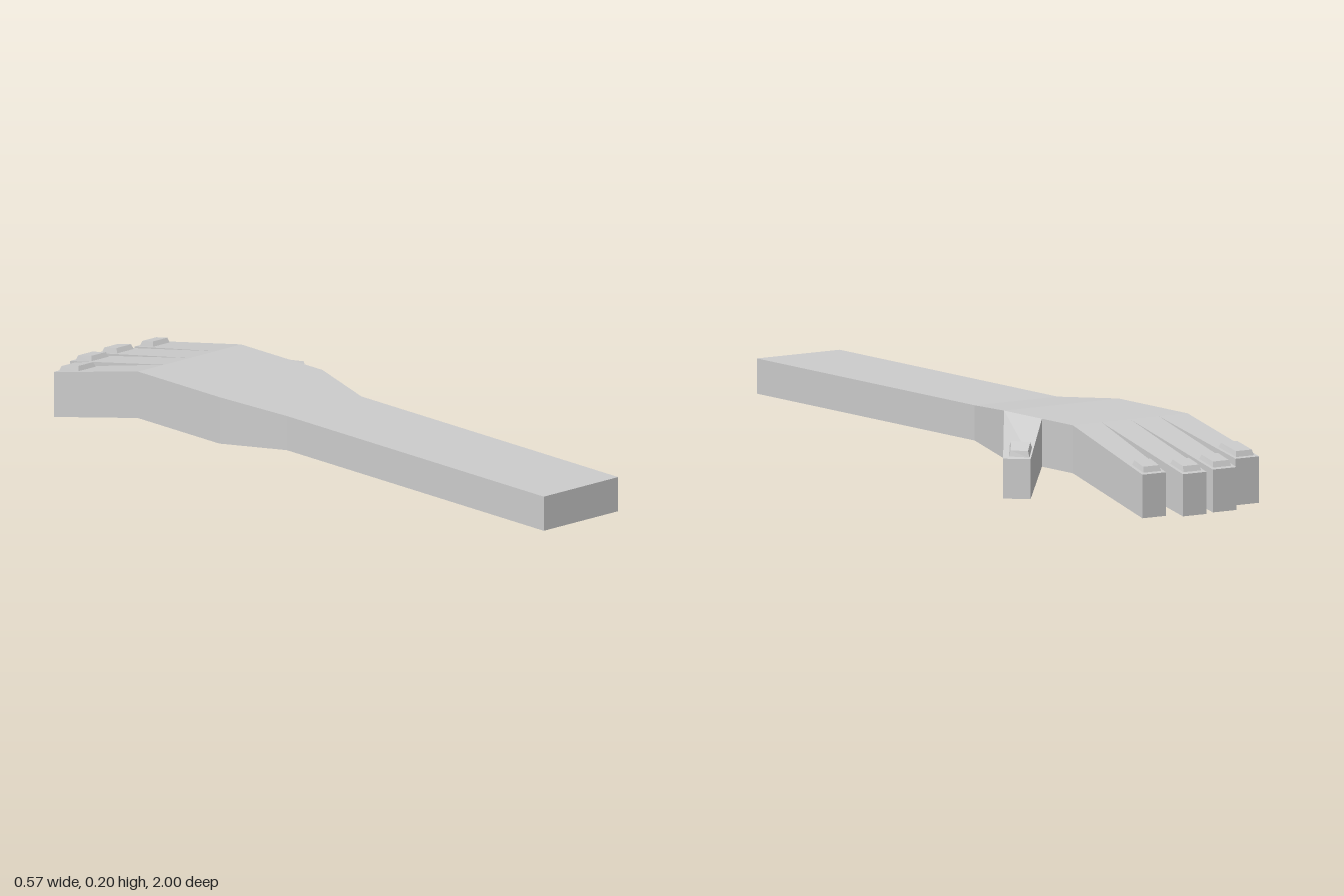
import * as THREE from 'three';

const material = new THREE.MeshStandardMaterial({ color: 0xcccccc, flatShading: true });

// Closed solid through four-cornered rings (corners anticlockwise seen from the start)
function loft(name, rings) {
  const pos = [];
  const quad = (a, b, c, d) => [a, b, c, a, c, d].forEach((p) => pos.push(...p));
  quad(...rings[0]);
  for (let r = 0; r + 1 < rings.length; r++) {
    for (let i = 0; i < 4; i++) {
      const j = (i + 1) % 4;
      quad(rings[r][i], rings[r + 1][i], rings[r + 1][j], rings[r][j]);
    }
  }
  quad(...[...rings[rings.length - 1]].reverse());
  const geometry = new THREE.BufferGeometry();
  geometry.setAttribute('position', new THREE.Float32BufferAttribute(pos, 3));
  geometry.computeVertexNormals();
  const mesh = new THREE.Mesh(geometry, material);
  mesh.name = name;
  return mesh;
}

// Upright ring between a left and a right [x, z] point
const ring = ([xl, zl], [xr, zr], y0, y1) => [[xl, y0, zl], [xr, y0, zr], [xr, y1, zr], [xl, y1, zl]];

// Tapered nail plate lying on the top face of a digit
function nail(name, base, tip, u0, u1, v0, v1) {
  const lerp = (a, b, t) => a.map((n, k) => n + (b[k] - n) * t);
  const plate = (inset, lift) => [
    [u0 + inset, v0 + inset / 3], [u1 - inset, v0 + inset / 3],
    [u1 - inset, v1 - inset / 3], [u0 + inset, v1 - inset / 3],
  ].map(([u, v]) => {
    const p = lerp(lerp(base[3], base[2], u), lerp(tip[3], tip[2], u), v);
    return [p[0], p[1] + lift, p[2]];
  });
  return loft(name, [plate(0.06, 0.014), plate(0, -0.003)]);
}

export function createModel() {
  const group = new THREE.Group();
  const bottom = 0.072, top = 0.204, palmL = -0.283, palmR = 0.098, knuckleZ = -0.578;

  // Forearm, wrist flare and palm
  group.add(loft('forearmAndPalm', [
    ring([-0.23, 1], [0.045, 1], 0.09, 0.187),
    ring([-0.23, -0.035], [0.045, -0.035], 0.09, 0.187),
    ring([palmL, -0.25], [palmR, -0.25], bottom, top),
    ring([palmL, knuckleZ], [palmR, knuckleZ], bottom, top),
  ]));

  const addDigit = (name, base, tip, u0, u1, v0, v1) => {
    const digit = new THREE.Group();
    digit.name = name;
    digit.add(loft(name + 'Body', [base, tip]), nail(name + 'Nail', base, tip, u0, u1, v0, v1));
    group.add(digit);
  };

  // Fingers: left and right edge of the tip, tip depth, tip height, nail start
  const width = (palmR - palmL) / 4;
  [
    ['littleFinger', -0.283, -0.205, -0.917, 0.128, 0.73],
    ['ringFinger', -0.158, -0.08, -0.988, 0.118, 0.79],
    ['middleFinger', -0.05, 0.028, -1, 0.116, 0.8],
    ['indexFinger', 0.06, 0.138, -0.965, 0.12, 0.8],
  ].forEach(([name, xl, xr, z, y, v], i) => {
    const x = palmL + i * width;
    addDigit(name,
      ring([x, knuckleZ], [x + width, knuckleZ], bottom, top),
      ring([xl, z], [xr, z], 0, y), 0.1, 0.88, v, 0.97);
  });

  // Thumb leaving the side of the palm
  addDigit('thumb',
    ring([palmR, -0.43], [palmR, -0.25], bottom, top),
    ring([0.225, -0.558], [0.283, -0.51], 0.01, 0.12), 0.06, 0.8, 0.7, 0.95);

  return group;
}
